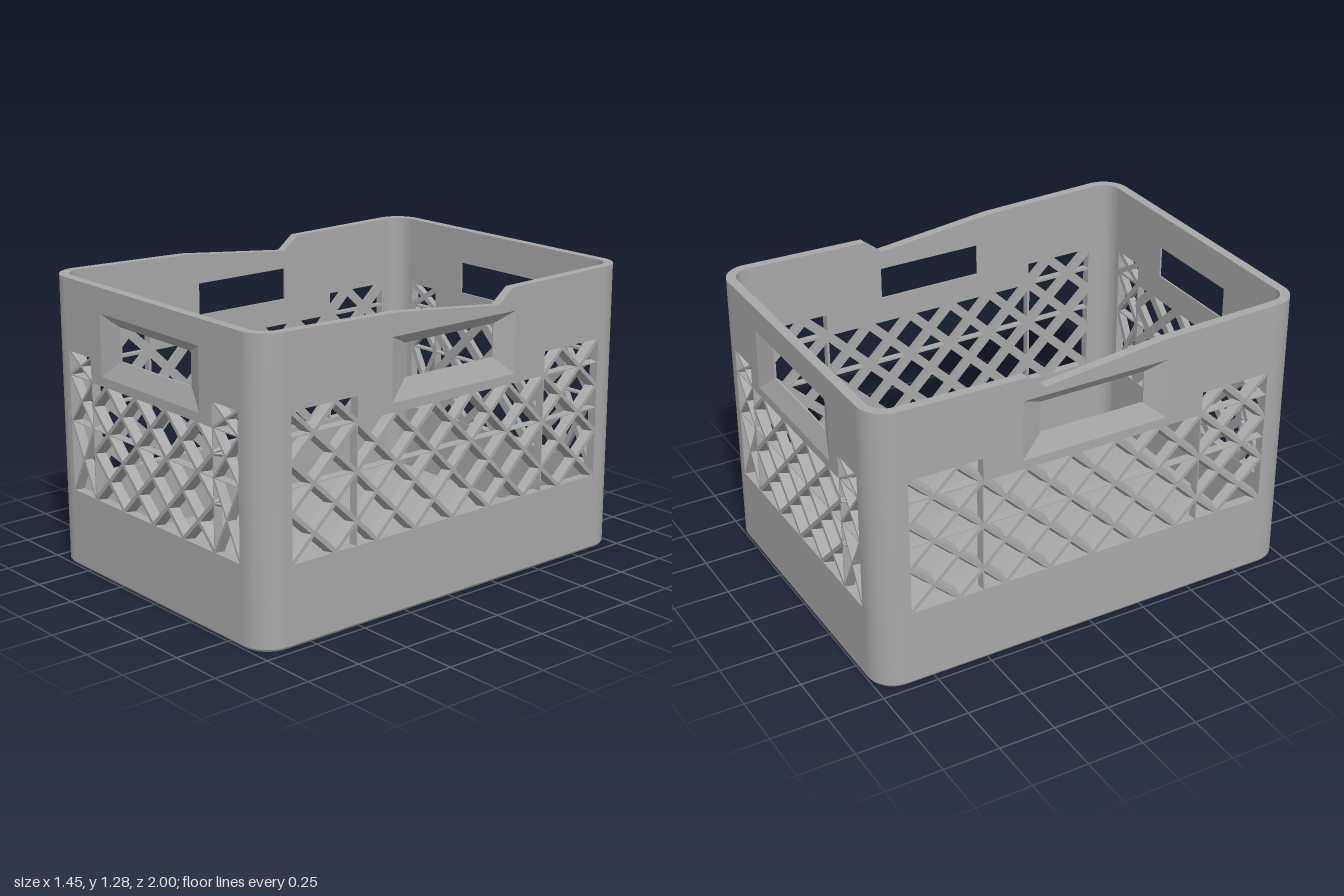
import * as THREE from 'three';
import { toCreasedNormals } from 'three/addons/utils/BufferGeometryUtils.js';

const HX = 0.725, HZ = 1, H = 1.285, R = 0.12, T = 0.042, Y0 = 0.02;
const Y_LOW = 0.35, Y_MID = 0.865, Y_HIGH = 0.97, Y_RIB = 0.66;

const grey = new THREE.MeshStandardMaterial({ color: 0xa8a8a8 });
grey.name = 'grey plastic';

function add(parent, name, geometry) {
  const mesh = new THREE.Mesh(geometry, grey);
  mesh.name = name;
  parent.add(mesh);
  return mesh;
}

const points = (list) => list.map(([x, y]) => new THREE.Vector2(x, y));
const rect = (w, y0, y1) => [[-w, y0], [w, y0], [w, y1], [-w, y1]];

// Unit lattice bar along x: wide on the inside, narrow on the outside
const barGeometry = new THREE.BoxGeometry(1, 1, 1).toNonIndexed();
{
  const p = barGeometry.attributes.position;
  for (let i = 0; i < p.count; i++) if (p.getZ(i) > 0) p.setY(i, p.getY(i) * 0.4);
  barGeometry.computeVertexNormals();
}

function bar(parent, x1, y1, x2, y2, width, depth = T * 0.9) {
  const mesh = add(parent, 'latticeBar', barGeometry);
  mesh.position.set((x1 + x2) / 2, (y1 + y2) / 2, T / 2);
  mesh.rotation.z = Math.atan2(y2 - y1, x2 - x1);
  mesh.scale.set(Math.hypot(x2 - x1, y2 - y1) + 0.008, width, depth);
}

function cross(parent, x1, y1, x2, y2, width) {
  bar(parent, x1, y1, x2, y2, width);
  bar(parent, x1, y2, x2, y1, width);
}

// Sloped recess around the hand hole, closed at the inner face
function handleRecess(outer, inner) {
  const loops = [[outer, T], [inner, 0.008], [inner, 0], [outer, 0]];
  const pos = [];
  for (let k = 0; k < 3; k++) {
    const [a, za] = loops[k], [b, zb] = loops[k + 1];
    for (let i = 0; i < 4; i++) {
      const j = (i + 1) % 4;
      const A = [...a[i], za], B = [...a[j], za], C = [...b[j], zb], D = [...b[i], zb];
      pos.push(...A, ...B, ...C, ...A, ...C, ...D);
    }
  }
  const g = new THREE.BufferGeometry();
  g.setAttribute('position', new THREE.Float32BufferAttribute(pos, 3));
  g.computeVertexNormals();
  return g;
}

// One wall: x along the wall, z outward from the inner face
function wall(name, half, win, split, cols, dip) {
  const group = new THREE.Group();
  group.name = name;

  // Panel with stepped lattice window and hand-hole recess
  const top = dip ? [[0.32, 1.275], [0.24, 1.212], [-0.31, 1.27]] : [];
  const rim = dip < 0 ? top.map(([x, y]) => [-x, y]).reverse() : top;
  const shape = new THREE.Shape(points([[-half, Y0], [half, Y0], [half, H], ...rim, [-half, H]]));
  const outer = rect(0.34, 0.905, 1.175), inner = rect(0.245, 0.985, 1.13);
  shape.holes.push(new THREE.Path(points([
    [-win, Y_LOW], [win, Y_LOW], [win, Y_HIGH], [split, Y_HIGH],
    [split, Y_MID], [-split, Y_MID], [-split, Y_HIGH], [-win, Y_HIGH],
  ])));
  shape.holes.push(new THREE.Path(points(outer)));
  add(group, 'panel', new THREE.ExtrudeGeometry(shape, { depth: T, bevelEnabled: false }));
  add(group, 'handleRecess', handleRecess(outer, inner));

  // Diamond lattice: one diagonal per cell, alternating direction
  const lattice = new THREE.Group();
  lattice.name = 'lattice';
  group.add(lattice);
  const du = split / cols, dy = (Y_MID - Y_LOW) / 5;
  const wide = win - split > 0.25;
  const ends = wide ? 3 : 0, de = (win - split) / 3;
  const u = (i) => Math.sign(i) * (Math.abs(i) <= cols ? Math.abs(i) * du : split + (Math.abs(i) - cols) * de);
  for (let i = -cols - ends; i < cols + ends; i++) {
    const inEnd = i >= cols || i < -cols;
    for (let j = 0; j < (inEnd ? 6 : 5); j++) {
      const y1 = Y_LOW + j * dy, y2 = y1 + dy;
      if ((i + j) % 2 === 0) bar(lattice, u(i), y1, u(i + 1), y2, 0.042);
      else bar(lattice, u(i), y2, u(i + 1), y1, 0.042);
    }
  }

  // Thin ribs, and crossed end cells on the narrow walls
  bar(lattice, -win, Y_RIB, win, Y_RIB, 0.008);
  for (const s of [-1, 1]) {
    bar(lattice, s * split, Y_LOW, s * split, Y_MID, 0.012);
    bar(lattice, s * split, Y_MID, s * win, Y_MID, 0.012);
    if (!wide) {
      const rows = [Y_LOW, Y_RIB, Y_MID, Y_HIGH];
      for (let k = 0; k < 3; k++) cross(lattice, s * split, rows[k], s * win, rows[k + 1], 0.024);
    }
  }
  return group;
}

function createModel() {
  const crate = new THREE.Group();
  crate.name = 'crate';

  // Four walls
  const specs = [
    ['frontWall', 0, HZ, 0], ['rightHandWall', Math.PI / 2, HX, 1],
    ['backWall', Math.PI, HZ, 0], ['leftHandWall', -Math.PI / 2, HX, -1],
  ];
  for (const [name, angle, dist, dip] of specs) {
    const w = dip ? wall(name, HZ - R, 0.85, 0.52, 5, dip) : wall(name, HX - R, 0.585, 0.42, 4, 0);
    w.rotation.y = angle;
    w.position.set(Math.sin(angle) * (dist - T), 0, Math.cos(angle) * (dist - T));
    crate.add(w);
  }

  // Rounded corner posts
  const arc = new THREE.Shape();
  arc.absarc(0, 0, R, 0, Math.PI / 2, false);
  arc.absarc(0, 0, R - T, Math.PI / 2, 0, true);
  const post = toCreasedNormals(
    new THREE.ExtrudeGeometry(arc, { depth: H - Y0, bevelEnabled: false, curveSegments: 6 }), 0.6);
  post.rotateX(-Math.PI / 2);
  [[1, -1], [-1, -1], [-1, 1], [1, 1]].forEach(([sx, sz], i) => {
    const mesh = add(crate, 'cornerPost', post);
    mesh.position.set(sx * (HX - R), Y0, sz * (HZ - R));
    mesh.rotation.y = i * Math.PI / 2;
  });

  // Floor with a bevelled lower edge
  const b = 0.025, x = HX - b, z = HZ - b, r = R - b;
  const outline = new THREE.Shape();
  outline.absarc(x - r, z - r, r, 0, Math.PI / 2);
  outline.absarc(r - x, z - r, r, Math.PI / 2, Math.PI);
  outline.absarc(r - x, r - z, r, Math.PI, Math.PI * 1.5);
  outline.absarc(x - r, r - z, r, Math.PI * 1.5, Math.PI * 2);
  const floor = new THREE.ExtrudeGeometry(outline, {
    depth: 0.01, bevelEnabled: true, bevelSize: b, bevelThickness: 0.015, bevelSegments: 2, curveSegments: 6,
  });
  floor.rotateX(-Math.PI / 2).translate(0, 0.015, 0);
  add(crate, 'floor', toCreasedNormals(floor, 0.6));

  return crate;
}

export { createModel };
